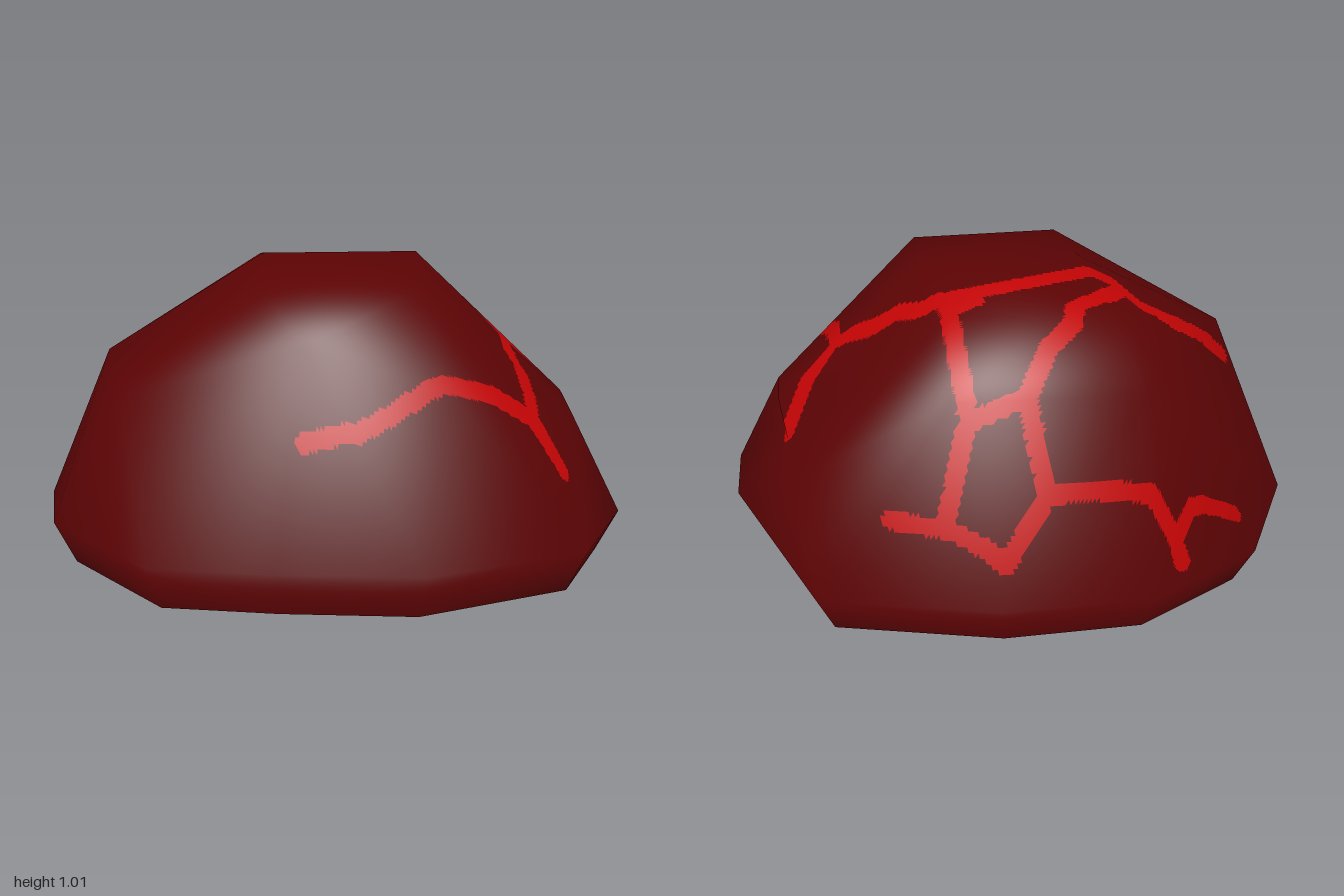
import * as THREE from 'three';
import { ConvexGeometry } from 'three/addons/geometries/ConvexGeometry.js';
import { mergeVertices } from 'three/addons/utils/BufferGeometryUtils.js';

// Widest outline of the boulder (x, z) at y = 0.15
const OUTLINE = [
  [-0.98, -0.19], [-1, 0.16], [-0.9, 0.45], [-0.5, 0.78], [-0.1, 0.785], [0.36, 0.76], [0.86, 0.51],
  [1, 0.15], [0.98, -0.09], [0.81, -0.36], [0.66, -0.69], [0.07, -0.79], [-0.42, -0.76], [-0.8, -0.55],
];
// Corners of the upper facets (x, y, z)
const CORNERS = [
  [-0.25, 1.0, 0], [0.28, 1.01, -0.03], [-0.31, 0.95, -0.32], [0.2, 0.96, -0.325],
  [0.31, 0.945, 0.33], [-0.2, 0.945, 0.36], [-0.04, 0.8, 0.565], [-0.775, 0.675, 0.13],
  [-0.65, 0.6, 0.46], [0.8, 0.52, -0.06], [0.82, 0.5, 0.13], [0.21, 0.785, -0.55],
  [0.72, 0.46, -0.45], [0.7, 0.51, 0.35], [0.4, 0.65, 0.51], [-0.4, 0.775, -0.53],
];
// Corners that are pushed in to leave a hollow: from, to
const DENTS = [
  [[-0.62, 0.38, -0.61], [-0.585, 0.37, -0.535]],
  [[0.81, 0.5, -0.2], [0.765, 0.44, -0.19]],
].map((dent) => dent.map((c) => new THREE.Vector3(...c)));
// Glowing cracks, as paths seen from above (x, z)
const CRACKS = [
  [[-0.78, 0.02], [-0.56, -0.1], [-0.44, -0.13], [-0.35, -0.06], [0.19, -0.22]],
  [[-0.36, -0.12], [-0.3, -0.22], [-0.2, -0.28], [-0.18, -0.35], [-0.1, -0.41], [-0.02, -0.54], [0.16, -0.57]],
  [[0.16, -0.57], [0.22, -0.23], [0.3, -0.19], [0.37, -0.12], [0.47, -0.08], [0.59, -0.02]],
  [[0.12, -0.24], [0.18, -0.28]],
  [[0.59, -0.02], [0.69, -0.07], [0.77, -0.17]],
  [[0.59, -0.02], [0.61, 0.13], [0.67, 0.27], [0.68, 0.35], [0.78, 0.38]],
  [[0.68, 0.35], [0.54, 0.4], [0.38, 0.5], [0.2, 0.6], [0.13, 0.635], [-0.02, 0.655]],
  [[-0.02, -0.54], [-0.08, -0.65], [0.06, -0.735], [0.22, -0.68], [0.41, -0.64]],
  [[0.16, -0.57], [0.24, -0.67]],
  [[-0.08, -0.65], [-0.29, -0.64], [-0.5, -0.64], [-0.56, -0.56], [-0.74, -0.47]],
  [[-0.5, -0.64], [-0.52, -0.665]],
];
const CRACK_HALF_WIDTH = 0.032;
const SPLITS = 38;

// Faceted shell with shared vertices, smooth normals and an open underside
function buildShell() {
  const points = [
    ...OUTLINE.map(([x, z]) => new THREE.Vector3(x * 0.93, 0, z * 0.945)),
    ...OUTLINE.map(([x, z]) => new THREE.Vector3(x, 0.15, z)),
    ...CORNERS.map((c) => new THREE.Vector3(...c)),
    ...DENTS.map(([from]) => from),
  ];
  const hull = new ConvexGeometry(points);
  hull.deleteAttribute('normal');
  const shell = mergeVertices(hull);
  const pos = shell.attributes.position;
  const vertex = new THREE.Vector3();
  for (let v = 0; v < pos.count; v++) {
    vertex.fromBufferAttribute(pos, v);
    const dent = DENTS.find(([from]) => from.distanceTo(vertex) < 0.001);
    if (dent) pos.setXYZ(v, ...dent[1].toArray());
  }
  const kept = [];
  for (let i = 0; i < shell.index.count; i += 3) {
    const face = [0, 1, 2].map((k) => shell.index.getX(i + k));
    if (face.some((v) => pos.getY(v) > 0.01)) kept.push(...face);
  }
  shell.setIndex(kept);
  shell.computeVertexNormals();
  return shell;
}

// Drop the crack paths onto the shell as closely spaced points
function traceCracks(shell) {
  const target = new THREE.Mesh(shell, new THREE.MeshBasicMaterial());
  const ray = new THREE.Raycaster();
  const down = new THREE.Vector3(0, -1, 0);
  const trace = [];
  for (const path of CRACKS) {
    for (let i = 1; i < path.length; i++) {
      const a = new THREE.Vector2(...path[i - 1]), b = new THREE.Vector2(...path[i]);
      const steps = Math.ceil(a.distanceTo(b) / 0.012);
      for (let s = 0; s <= steps; s++) {
        const p = a.clone().lerp(b, s / steps);
        ray.set(new THREE.Vector3(p.x, 2, p.y), down);
        const hit = ray.intersectObject(target)[0];
        if (hit) trace.push(hit.point);
      }
    }
  }
  return trace;
}

// Split every facet finely and sort the pieces into rock and crack
function splitSurface(shell, trace) {
  const parts = { rock: { p: [], n: [] }, crack: { p: [], n: [] } };
  const { position, normal } = shell.attributes;
  const corner = (attr, i) => new THREE.Vector3().fromBufferAttribute(attr, shell.index.getX(i));
  const limit = CRACK_HALF_WIDTH ** 2;
  for (let f = 0; f < shell.index.count; f += 3) {
    const P = [0, 1, 2].map((k) => corner(position, f + k));
    const N = [0, 1, 2].map((k) => corner(normal, f + k));
    const mix = (set, i, j) => new THREE.Vector3()
      .addScaledVector(set[0], 1 - (i + j) / SPLITS)
      .addScaledVector(set[1], i / SPLITS)
      .addScaledVector(set[2], j / SPLITS);
    const add = (cells) => {
      const pts = cells.map(([i, j]) => mix(P, i, j));
      const mid = pts[0].clone().add(pts[1]).add(pts[2]).divideScalar(3);
      const out = trace.some((t) => t.distanceToSquared(mid) < limit) ? parts.crack : parts.rock;
      cells.forEach(([i, j], k) => {
        out.p.push(...pts[k].toArray());
        out.n.push(...mix(N, i, j).normalize().toArray());
      });
    };
    for (let i = 0; i < SPLITS; i++) {
      for (let j = 0; j < SPLITS - i; j++) {
        add([[i, j], [i + 1, j], [i, j + 1]]);
        if (i + j < SPLITS - 1) add([[i + 1, j], [i + 1, j + 1], [i, j + 1]]);
      }
    }
  }
  return parts;
}

function makeMesh(name, { p, n }, material) {
  const geometry = new THREE.BufferGeometry();
  geometry.setAttribute('position', new THREE.Float32BufferAttribute(p, 3));
  geometry.setAttribute('normal', new THREE.Float32BufferAttribute(n, 3));
  const mesh = new THREE.Mesh(geometry, material);
  mesh.name = name;
  return mesh;
}

export function createModel() {
  const rockRed = new THREE.MeshStandardMaterial({ color: 0x5b0304, side: THREE.DoubleSide });
  rockRed.name = 'dark red rock';
  const crackRed = new THREE.MeshStandardMaterial({ color: 0xc20405, side: THREE.DoubleSide });
  crackRed.name = 'bright red crack';

  const shell = buildShell();
  const parts = splitSurface(shell, traceCracks(shell));
  const group = new THREE.Group();
  group.name = 'crackedBoulder';
  group.add(makeMesh('rockShell', parts.rock, rockRed), makeMesh('cracks', parts.crack, crackRed));
  return group;
}
